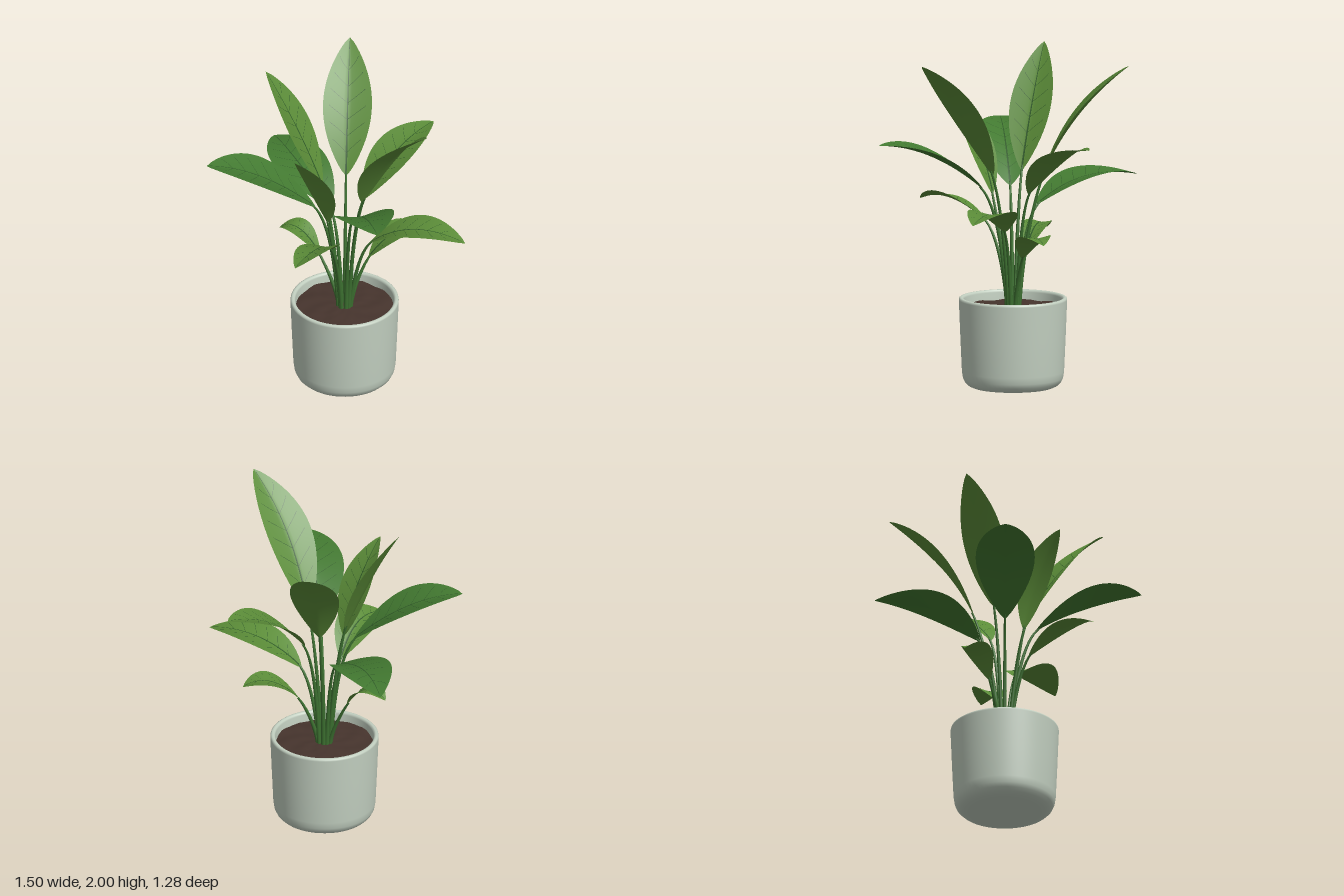
import * as THREE from 'three';
import { mergeGeometries } from 'three/addons/utils/BufferGeometryUtils.js';

const material = (name, color, side = THREE.FrontSide) => {
  const m = new THREE.MeshStandardMaterial({ color, side });
  m.name = name;
  return m;
};

// Smooth grid over u, v in 0..1 from a function returning a Vector3
function surface(fn, nu, nv) {
  const pos = [], index = [];
  for (let i = 0; i <= nu; i++)
    for (let j = 0; j <= nv; j++) pos.push(...fn(i / nu, j / nv).toArray());
  for (let i = 0; i < nu; i++)
    for (let j = 0; j < nv; j++) {
      const a = i * (nv + 1) + j, b = a + nv + 1;
      index.push(a, a + 1, b, b, a + 1, b + 1);
    }
  const g = new THREE.BufferGeometry();
  g.setAttribute('position', new THREE.Float32BufferAttribute(pos, 3));
  g.setIndex(index);
  g.computeVertexNormals();
  return g;
}

// Tapering stalk along a curve in the local x-y plane
function stalk(curve, r0, r1) {
  return surface((u, v) => {
    const p = curve.getPoint(u), t = curve.getTangent(u);
    const a = v * Math.PI * 2, r = r0 + (r1 - r0) * u;
    const n = new THREE.Vector3(-t.y, t.x, 0);
    return p.addScaledVector(n, Math.cos(a) * r).add(new THREE.Vector3(0, 0, Math.sin(a) * r));
  }, 20, 10);
}

// Tip dx, dz, height; base radius, height; bend radius, height; width; shade; sideways bow; roll
const LEAVES = [
  [-0.785, -0.335, 1.21, 0.16, 1.08, 0.5, 1.29, 0.33, 'mid', -0.03, 0],
  [-0.395, -0.565, 1.93, 0.18, 1.28, 0.35, 1.67, 0.29, 'light', 0, 0],
  [0.15, -0.67, 1.5, 0.14, 1.17, 0.37, 1.47, 0.285, 'light', 0, 0],
  [0.265, -0.42, 0.92, 0.15, 0.79, 0.33, 1.01, 0.2, 'light', 0, 0],
  [0.72, -0.235, 1.08, 0.15, 0.95, 0.4, 1.18, 0.27, 'light', -0.015, 0],
  [0.72, 0.14, 2.0, 0.16, 1.28, 0.39, 1.75, 0.3, 'light', 0.025, 0],
  [0.64, 0.515, 1.48, 0.18, 1.19, 0.5, 1.47, 0.35, 'mid', 0, 0],
  [-0.61, 0.545, 1.5, 0.17, 1.18, 0.5, 1.48, 0.35, 'mid', 0, 0],
  [0.1, 0.61, 1.09, 0.165, 0.97, 0.4, 1.19, 0.23, 'light', -0.03, -0.25],
  [-0.02, 0.455, 1.7, 0.155, 1.14, 0.23, 1.45, 0.225, 'light', 0, 0],
  [-0.49, 0.13, 2.0, 0.14, 1.28, 0.29, 1.66, 0.26, 'light', 0, 0],
  [-0.435, 0.07, 0.9, 0.165, 0.79, 0.31, 1.02, 0.17, 'light', 0, 0],
];

export function createModel() {
  const model = new THREE.Group();
  model.name = 'pottedPlant';
  const plant = new THREE.Group();
  plant.name = 'plant';
  plant.position.set(0.03, 0, 0.03);
  model.add(plant);

  const potMat = material('pale sage glaze', 0xc2cfc0);
  const soilMat = material('dark soil', 0x46342d);
  const stemMat = material('stem green', 0x3c7030);
  const veinMat = material('vein green', 0x2f5a27, THREE.DoubleSide);
  const leafMats = {
    light: material('light leaf green', 0x5b8c38, THREE.DoubleSide),
    mid: material('mid leaf green', 0x437a31, THREE.DoubleSide),
  };
  const add = (parent, name, geometry, mat) => {
    const m = new THREE.Mesh(geometry, mat);
    m.name = name;
    parent.add(m);
  };

  // Pot: rounded foot, slightly flared wall, soft rim and inner wall
  const profile = [
    [0, 0], [0.215, 0], [0.24, 0.004], [0.265, 0.015], [0.285, 0.034], [0.297, 0.06], [0.303, 0.1],
    [0.312, 0.3], [0.321, 0.525], [0.319, 0.535], [0.312, 0.54], [0.302, 0.54], [0.295, 0.535],
    [0.291, 0.525], [0.287, 0.45],
  ].map(([x, y]) => new THREE.Vector2(x, y));
  add(plant, 'pot', new THREE.LatheGeometry(profile, 64), potMat);

  // Soil: gently lumpy disc
  add(plant, 'soil', surface((u, v) => {
    const r = u * 0.291, a = v * Math.PI * 2;
    const bump = u * (Math.sin(a * 7 + u * 9) + Math.sin(a * 12 - u * 14)) * 0.0035;
    return new THREE.Vector3(Math.cos(a) * r, 0.492 - 0.01 * u * u + bump, Math.sin(a) * r);
  }, 12, 48), soilMat);

  // Leaves on stalks, each built along local +x and turned to its heading
  LEAVES.forEach(([dx, dz, tipY, baseR, baseY, bendR, bendY, width, shade, bow, roll], k) => {
    const leaf = new THREE.Group();
    leaf.name = `leaf${k + 1}`;
    leaf.rotation.y = -Math.atan2(dz, dx);
    plant.add(leaf);

    const V = (x, y) => new THREE.Vector3(x, y, 0);
    const base = V(baseR, baseY);
    const spine = new THREE.QuadraticBezierCurve3(base, V(bendR, bendY), V(Math.hypot(dx, dz), tipY));

    // Stem flows into the blade along its starting direction
    const rise = baseY - 0.46;
    const end = spine.getPoint(0.04);
    const stemCurve = new THREE.CubicBezierCurve3(
      V(0.035, 0.46), V(0.05, 0.46 + rise * 0.4),
      base.clone().addScaledVector(spine.getTangent(0), -0.15 * rise), end);
    add(leaf, 'stem', stalk(stemCurve, 0.014, 0.006), stemMat);

    // Blade point at t along and s across (-1..1), lifted along the normal
    const half = (t) => 0.5 * width * Math.pow(Math.max(0, Math.sin(Math.PI * t)), 0.8);
    const blade = (t, s, lift = 0) => {
      t = Math.min(1, Math.max(0, t));
      const p = spine.getPoint(t), d = spine.getTangent(t), w = half(t);
      const up = w * (0.18 * Math.pow(Math.abs(s), 1.2) + roll * s) + lift;
      return p.add(new THREE.Vector3(-d.y * up, d.x * up, s * w + bow * Math.sin(Math.PI * t)));
    };
    add(leaf, 'blade', surface((u, v) => blade(u, v * 2 - 1), 28, 12), leafMats[shade]);

    // Midrib and paired side veins as thin strips on the upper face
    const strips = [surface((u, v) => {
      const t = 0.01 + u * 0.96;
      const s = (v - 0.5) * 0.012 * (1 - 0.75 * u) / Math.max(half(t), 0.012);
      return blade(t, s, 0.003);
    }, 28, 2)];
    for (let i = 0; i < 6; i++)
      for (const side of [-1, 1])
        strips.push(surface((u, v) =>
          blade(0.16 + i * 0.12 + u * 0.1 + (v - 0.5) * 0.004, side * u * 0.75, 0.003), 8, 1));
    add(leaf, 'veins', mergeGeometries(strips), veinMat);
  });

  return model;
}
